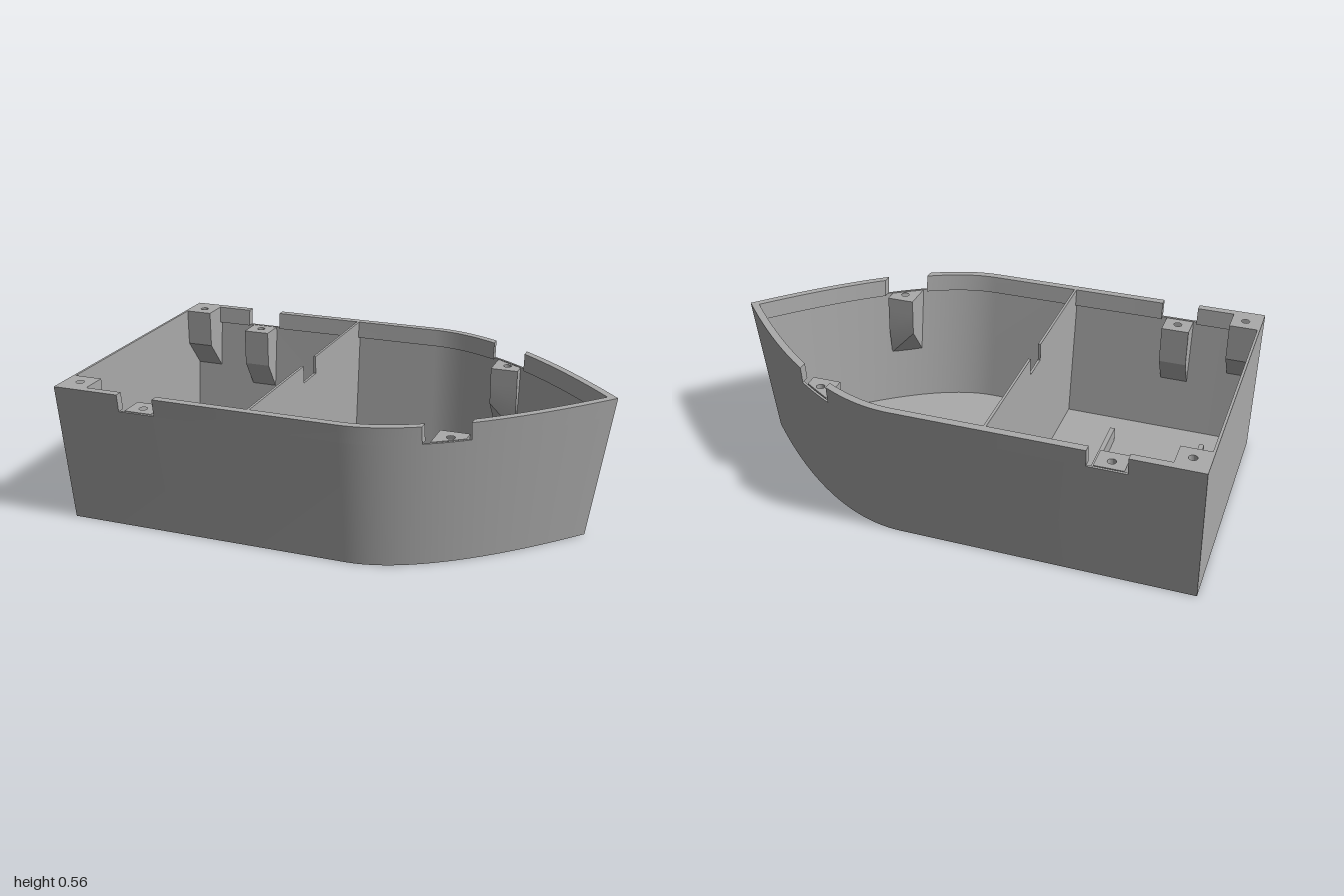
import * as THREE from 'three';
import { toCreasedNormals } from 'three/addons/utils/BufferGeometryUtils.js';

const H = 0.565, NOTCH_Y = 0.497, DRAFT = 0.07, WALL = 0.01, LIP = 0.032;
const CURVE_X = 0.13, FIXED_X = 0.56;

// inward offset of the outer skin at height y (sides flare upward)
const skin = (y) => DRAFT * (1 - y / H);
const bowTip = (d) => 0.995 - 1.22 * d;

// half width of the plan outline at x, offset inward by d
function halfWidth(x, d) {
  const w = 0.597 - d, tip = bowTip(d), p = 0.47 - 0.5 * d;
  if (x <= CURVE_X) return w;
  const a = tip - 2 * p + CURVE_X, b = 2 * (p - CURVE_X);
  const t = (-b + Math.sqrt(b * b + 4 * a * (x - CURVE_X))) / (2 * a);
  return w * Math.max(0, 1 - t * t);
}

// stations along the hull: u <= FIXED_X is a true x, beyond that it runs to the bow tip
const stationX = (u, d) => (u <= FIXED_X ? u : FIXED_X + (u - FIXED_X) / (1 - FIXED_X) * (bowTip(d) - FIXED_X));
function stations(from, to) {
  const list = [from];
  for (let i = 0; i <= 36; i++) {
    const u = CURVE_X + (1 - CURVE_X) * i / 36;
    if (u > from + 0.004 && u < to - 0.004) list.push(u);
  }
  return [...list, to];
}

// closed solid through cross-sections; each ring runs outer bottom, outer top, inner top, inner bottom
function loft(rings, side) {
  const pos = [], idx = [], n = rings[0].length;
  const quad = (a, b, c, d) => (side > 0 ? idx.push(a, b, c, a, c, d) : idx.push(a, c, b, a, d, c));
  rings.forEach((r) => r.forEach(([x, y, z]) => pos.push(x, y, z * side)));
  for (let i = 0; i < rings.length - 1; i++)
    for (let j = 0; j < n; j++) {
      const k = (j + 1) % n;
      quad(i * n + j, (i + 1) * n + j, (i + 1) * n + k, i * n + k);
    }
  const e = (rings.length - 1) * n;
  quad(0, 1, 2, 3);
  quad(e + 3, e + 2, e + 1, e);
  const g = new THREE.BufferGeometry();
  g.setAttribute('position', new THREE.Float32BufferAttribute(pos, 3));
  g.setIndex(idx);
  return toCreasedNormals(g, 0.5);
}

// wall strip between two heights, with given thickness
function wallStrip(from, to, y0, y1, thick, side) {
  const profile = [[y0, 0], [y1, 0], [y1, thick], [y0, thick]];
  return loft(stations(from, to).map((u) => profile.map(([y, t]) => {
    const d = skin(y) + t, x = stationX(u, d);
    return [x, y, halfWidth(x, d)];
  })), side);
}

// horizontal plate from a plan shape drawn as (x, -z)
function plate(shape, y, depth) {
  const g = new THREE.ExtrudeGeometry(shape, { depth, bevelEnabled: false, curveSegments: 10 });
  return g.rotateX(-Math.PI / 2).translate(0, y, 0);
}

// upright plate across the hull from points (z, y)
function crossPlate(points, x, depth) {
  const shape = new THREE.Shape(points.map(([z, y]) => new THREE.Vector2(-z, y)));
  return new THREE.ExtrudeGeometry(shape, { depth, bevelEnabled: false })
    .rotateY(Math.PI / 2).translate(x, 0, 0);
}

export function createModel() {
  const model = new THREE.Group();
  const grey = new THREE.MeshStandardMaterial({ color: 0xaaaaaa });
  grey.name = 'hull grey';
  const add = (name, geometry, parent = model) => {
    const m = new THREE.Mesh(geometry, grey);
    m.name = name;
    parent.add(m);
    return m;
  };

  // floor
  const half = stations(-1, 1).map((u) => {
    const x = stationX(u, DRAFT);
    return new THREE.Vector2(x, halfWidth(x, DRAFT));
  });
  const mirrored = half.slice(0, -1).reverse().map((p) => new THREE.Vector2(p.x, -p.y));
  add('floor', plate(new THREE.Shape([...half, ...mirrored]), 0, WALL));

  // transom and bulkhead, the bulkhead with a central notch
  const low = halfWidth(-1, skin(0)), high = halfWidth(-1, 0), in1 = 0.005;
  add('transom', crossPlate([[-low, 0], [low, 0], [high, H], [-high, H]], -1, WALL));
  add('bulkhead', crossPlate([
    [-low + in1, 0.005], [low - in1, 0.005], [high - in1, H], [0.062, H],
    [0.062, H - 0.07], [-0.062, H - 0.07], [-0.062, H], [-high + in1, H],
  ], -0.225, WALL));

  // low ribs on the floor
  for (const x of [-0.84, -0.465])
    add('floorRib', new THREE.BoxGeometry(0.02, 0.065, 0.68).translate(x, 0.0375, 0));

  // mounting blocks: x range, inner face, top height, hole centre
  const blocks = [
    { name: 'cornerBlock', x0: -0.995, x1: -0.88, zin: 0.46, top: H, hole: [-0.935, 0.518] },
    { name: 'sternBlock', x0: -0.72, x1: -0.61, zin: 0.475, top: NOTCH_Y, hole: [-0.665, 0.53] },
    { name: 'bowBlock', x0: 0.43, x1: 0.54, zin: 0.355, top: NOTCH_Y, hole: [0.485, 0.41] },
  ];

  for (const side of [1, -1]) {
    const group = new THREE.Group();
    group.name = side > 0 ? 'frontSide' : 'backSide';
    model.add(group);

    // thin side wall, then the thick rim in three lengths separated by notches
    add('sideWall', wallStrip(-1, 1, 0, NOTCH_Y, WALL, side), group);
    for (const [a, b] of [[-1, -0.735], [-0.59, 0.41], [FIXED_X, 1]])
      add('rim', wallStrip(a, b, NOTCH_Y - 0.0, H, LIP, side), group);

    for (const { name, x0, x1, zin, top, hole } of blocks) {
      const block = new THREE.Group();
      block.name = name;
      group.add(block);
      const edge = (x, y) => halfWidth(x, skin(y) + 0.007);
      const seat = top - 0.06;
      // drilled top
      const shape = new THREE.Shape([
        [x0, zin], [x1, zin], [x1, edge(x1, seat)], [x0, edge(x0, seat)],
      ].map(([x, z]) => new THREE.Vector2(x, -z * side)));
      const drill = new THREE.Path();
      drill.absarc(hole[0], -hole[1] * side, 0.016, 0, Math.PI * 2, true);
      shape.holes.push(drill);
      add('drilledTop', plate(shape, seat, 0.06), block);
      // body with its underside sloping down to the wall
      add('taperedBody', loft([x0, x1].map((x) => [
        [x, top - 0.27, edge(x, top - 0.27)], [x, seat, edge(x, seat)],
        [x, seat, zin], [x, top - 0.15, zin],
      ]), side), block);
    }
  }
  return model;
}
